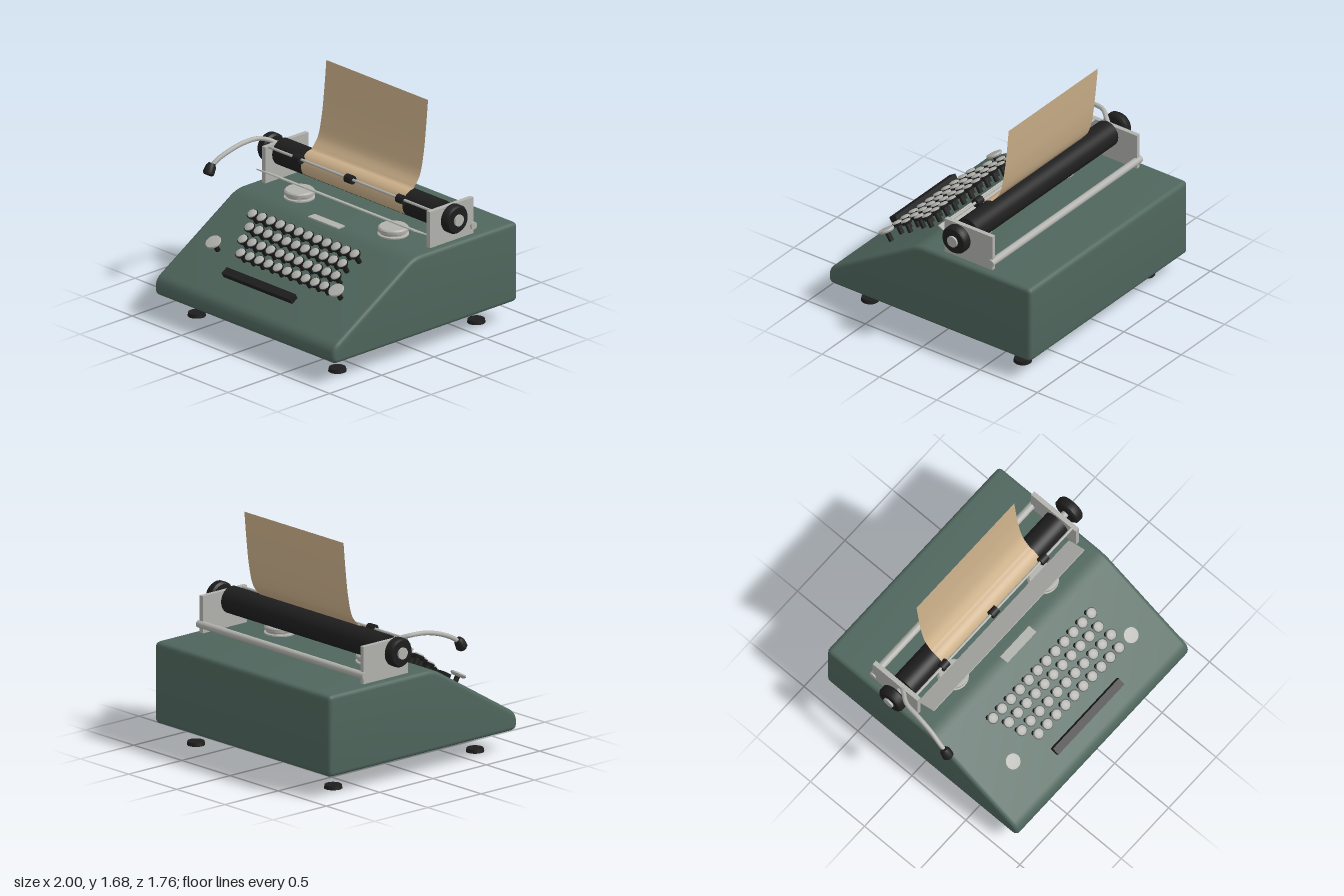
import * as THREE from 'three';
import { toCreasedNormals } from 'three/addons/utils/BufferGeometryUtils.js';

const mat = (name, color, side = THREE.FrontSide) =>
  Object.assign(new THREE.MeshStandardMaterial({ color, side }), { name });

export function createModel() {
  const green = mat('enamel green', 0x4f665d);
  const black = mat('black rubber', 0x1e1e1e);
  const metal = mat('brushed metal', 0xb2b2ae);
  const paperMat = mat('tan paper', 0xccb08a, THREE.DoubleSide);

  const model = new THREE.Group();
  model.name = 'typewriter';

  const add = (name, geometry, material, x = 0, y = 0, z = 0, parent = model) => {
    const mesh = new THREE.Mesh(geometry, material);
    mesh.name = name;
    mesh.position.set(x, y, z);
    parent.add(mesh);
    return mesh;
  };
  const box = (w, h, d) => new THREE.BoxGeometry(w, h, d);
  const disc = (r, h, n = 20, rTop = r) => new THREE.CylinderGeometry(rTop, r, h, n);
  const rod = (r, length, n = 24) => new THREE.CylinderGeometry(r, r, length, n).rotateZ(Math.PI / 2);
  const lathe = (pts, n = 24) => toCreasedNormals(
    new THREE.LatheGeometry(pts.map(([r, y]) => new THREE.Vector2(r, y)), n), 0.7);

  // Wedge-shaped body: rounded side profile (z, y) extruded across x
  const corners = [[0.885, 0.155, 0.05], [0.885, 0.277, 0.06], [0.106, 0.748, 0.07],
    [-0.88, 0.748, 0.04], [-0.88, 0.155, 0.04]];
  const profile = new THREE.Shape();
  corners.forEach(([z, y, r], i) => {
    const p = new THREE.Vector2(z, y);
    const toward = (c) => new THREE.Vector2(c[0], c[1]).sub(p).setLength(r).add(p);
    const a = toward(corners[(i + 4) % 5]);
    const b = toward(corners[(i + 1) % 5]);
    if (i) profile.lineTo(a.x, a.y); else profile.moveTo(a.x, a.y);
    profile.quadraticCurveTo(z, y, b.x, b.y);
  });
  profile.closePath();
  const bevel = 0.03;
  const bodyGeo = new THREE.ExtrudeGeometry(profile, {
    depth: 1.82 - 2 * bevel, bevelThickness: bevel, bevelSize: bevel,
    bevelOffset: -bevel, bevelSegments: 4, curveSegments: 5,
  });
  bodyGeo.translate(0, 0, -(1.82 - 2 * bevel) / 2).rotateY(-Math.PI / 2);
  add('body', toCreasedNormals(bodyGeo, 0.6), green, 0.01);

  // Feet
  for (const x of [-0.7, 0.725]) for (const z of [0.665, -0.665])
    add('foot', disc(0.065, 0.026, 20, 0.06), black, x, 0.013, z);

  // Keys stand square to the sloped front
  const tilt = 0.545;
  const capGeo = lathe([[0, -0.006], [0.036, -0.006], [0.036, 0.004], [0.028, 0.009], [0, 0.011]], 16);
  const rimGeo = disc(0.036, 0.02, 16, 0.043);
  const stemGeo = disc(0.019, 0.085, 10);
  const shiftGeo = lathe([[0, -0.012], [0.05, -0.012], [0.059, 0.0], [0.056, 0.01], [0, 0.016]], 20);
  const addKey = (name, x, y, z, large) => {
    const key = new THREE.Group();
    key.name = name;
    key.position.set(x, y, z);
    key.rotation.x = tilt;
    add('keyStem', stemGeo, black, 0, -0.055, 0, key);
    if (large) add('keyCap', shiftGeo, metal, 0, 0.004, 0, key);
    else {
      add('keyRim', rimGeo, black, 0, -0.007, 0, key);
      add('keyCap', capGeo, metal, 0, 0.006, 0, key);
    }
    model.add(key);
  };
  const rows = [[12, -0.505, 0.72, 0.315], [11, -0.44, 0.665, 0.405],
    [11, -0.41, 0.607, 0.497], [10, -0.335, 0.55, 0.588]];
  for (const [count, x0, y, z] of rows)
    for (let i = 0; i < count; i++) addKey('letterKey', x0 + i * 0.0942, y, z, false);
  for (const x of [-0.61, 0.635]) addKey('shiftKey', x, 0.55, 0.588, true);
  add('spaceBar', box(0.695, 0.042, 0.06), black, 0.0125, 0.45, 0.737).rotation.x = tilt;

  // Plate on the top deck and ribbon spools
  add('deckPlate', box(0.305, 0.01, 0.068), metal, 0.012, 0.753, 0.096);
  const spoolGeo = lathe([[0, 0], [0.11, 0], [0.11, 0.01], [0.096, 0.014], [0.096, 0.022],
    [0.108, 0.03], [0.108, 0.052], [0.098, 0.062], [0, 0.062]], 28);
  for (const x of [-0.46, 0.49]) add('ribbonSpool', spoolGeo, metal, x, 0.748, -0.092);

  // Carriage: platen, side plates, rear rail, paper bail
  const carriage = new THREE.Group();
  carriage.name = 'carriage';
  model.add(carriage);
  const py = 0.95, pz = -0.25;
  add('platen', rod(0.098, 1.615, 40), black, 0.0075, py, pz, carriage);
  add('platenAxle', rod(0.026, 1.87), metal, 0.0125, py, pz, carriage);
  for (const x of [-0.822, 0.848])
    add('sidePlate', box(0.034, 0.27, 0.415), metal, x, 0.885, -0.298, carriage);
  add('rearRail', rod(0.027, 1.73), metal, 0.015, 0.81, -0.5, carriage);
  add('frontGuide', box(1.59, 0.008, 0.16), metal, 0.01, 0.856, -0.059, carriage).rotation.x = -0.46;
  add('bailRod', rod(0.01, 1.65, 12), metal, 0.0125, 1.012, -0.13, carriage);
  for (const x of [-0.512, 0.01, 0.532])
    add('bailRoller', rod(0.032, 0.065, 16), black, x, 1.01, -0.13, carriage);

  // Platen knobs with metal hubs
  const knobGeo = lathe([[0, -0.038], [0.09, -0.038], [0.105, -0.025], [0.105, 0.02],
    [0.092, 0.038], [0, 0.038]], 28).rotateZ(-Math.PI / 2);
  for (const [x, s] of [[0.942, 1], [-0.917, -1]]) {
    add('platenKnob', knobGeo, black, x, py, pz, carriage).rotation.y = s > 0 ? 0 : Math.PI;
    add('knobHub', rod(0.042, 0.03), metal, x + s * 0.038, py, pz, carriage);
  }

  // Carriage return lever
  const leverPath = new THREE.CatmullRomCurve3([
    [-0.825, 0.99, -0.25], [-0.86, 1.025, -0.2], [-0.91, 1.047, -0.13], [-0.93, 1.043, 0],
    [-0.945, 1.01, 0.13], [-0.96, 0.97, 0.22], [-0.964, 0.935, 0.27],
  ].map((p) => new THREE.Vector3(...p)));
  add('returnLever', new THREE.TubeGeometry(leverPath, 28, 0.017, 10), metal, 0, 0, 0, carriage);
  const gripGeo = lathe([[0, -0.045], [0.03, -0.045], [0.042, -0.03], [0.038, 0.02], [0.024, 0.045], [0, 0.045]], 14);
  add('leverGrip', gripGeo, black, -0.965, 0.915, 0.288, carriage).rotation.x = -0.5;

  // Paper: wraps the front of the platen, then curves up behind it
  const path = [];
  for (let a = -40; a <= 90; a += 10) {
    const t = THREE.MathUtils.degToRad(a);
    path.push([pz + 0.102 * Math.cos(t), py + 0.102 * Math.sin(t)]);
  }
  const rise = new THREE.CatmullRomCurve3([[-0.25, 1.052], [-0.31, 1.13], [-0.348, 1.28],
    [-0.372, 1.47], [-0.392, 1.68]].map(([z, y]) => new THREE.Vector3(0, y, z)));
  rise.getPoints(20).slice(1).forEach((p) => path.push([p.z, p.y]));
  const paperGeo = new THREE.PlaneGeometry(1.03, 1, 1, path.length - 1);
  const pos = paperGeo.attributes.position;
  for (let i = 0; i < pos.count; i++) {
    const [z, y] = path[path.length - 1 - Math.floor(i / 2)];
    pos.setXYZ(i, pos.getX(i), y, z);
  }
  paperGeo.computeVertexNormals();
  add('paper', paperGeo, paperMat, 0.01, 0, 0, carriage);

  return model;
}
